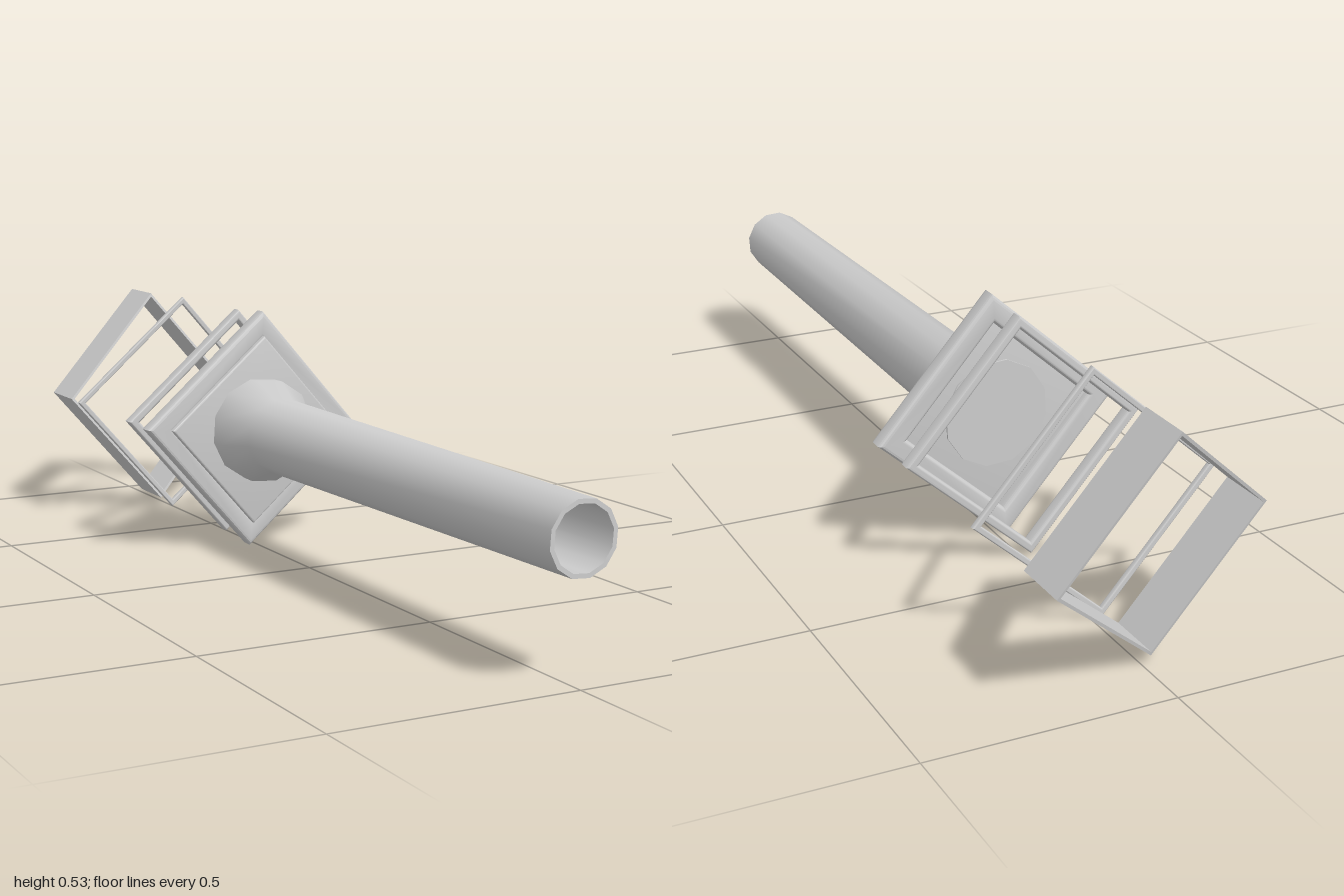
import * as THREE from 'three';
import { toCreasedNormals } from 'three/addons/utils/BufferGeometryUtils.js';

const material = new THREE.MeshStandardMaterial({ color: 0xcccccc });

function square(half, Type = THREE.Shape) {
  const s = new Type();
  s.moveTo(-half, -half);
  s.lineTo(half, -half);
  s.lineTo(half, half);
  s.lineTo(-half, half);
  s.closePath();
  return s;
}

// Square slab or frame from z0 to z1 with rounded edges; inner = 0 makes it solid.
function squareSlab(half, inner, z0, z1, bevel) {
  const shape = square(half - bevel);
  if (inner) shape.holes.push(square(inner + bevel, THREE.Path));
  const geo = new THREE.ExtrudeGeometry(shape, {
    depth: z1 - z0 - 2 * bevel,
    bevelEnabled: bevel > 0,
    bevelSize: bevel,
    bevelThickness: bevel,
    bevelSegments: 3,
  });
  geo.translate(0, 0, z0 + bevel);
  return toCreasedNormals(geo, 0.7);
}

export function createModel() {
  const group = new THREE.Group();
  // Everything shares the same tilt about the long axis
  group.rotation.z = THREE.MathUtils.degToRad(41.1);
  group.position.y = 0.265;
  const add = (name, geo) => {
    const mesh = new THREE.Mesh(geo, material);
    mesh.name = name;
    group.add(mesh);
    return mesh;
  };

  // Hollow twelve-sided tube, flared where it meets the plate
  const profile = [
    [0, -0.274], [0.115, -0.274], [0.116, -0.2], [0.083, -0.13],
    [0.072, 1], [0.063, 1], [0.063, -0.22], [0, -0.22],
  ].map(([r, z]) => new THREE.Vector2(r, z));
  const tube = new THREE.LatheGeometry(profile, 12);
  tube.rotateX(Math.PI / 2);
  add('flaredTube', toCreasedNormals(tube, 0.7)).position.set(0.002, 0.003, 0);

  // Mounting plate: rounded border with a raised centre, recessed at the back
  add('plateBorder', squareSlab(0.188, 0.145, -0.29, -0.25, 0.008));
  add('plateCentre', squareSlab(0.15, 0, -0.27, -0.238, 0.004));

  // Thin square rings
  add('thickRing', squareSlab(0.182, 0.164, -0.406, -0.375, 0.006));
  add('thinRing', squareSlab(0.182, 0.17, -0.696, -0.683, 0.003));

  // Slanted square sleeve: a thin-walled frame sheared along z
  const sleeve = squareSlab(0.176, 0.17, -0.938, -0.817, 0);
  const p = sleeve.attributes.position;
  for (let i = 0; i < p.count; i++) p.setZ(i, p.getZ(i) - p.getX(i) * 0.352);
  add('slantedSleeve', toCreasedNormals(sleeve, 0.7));

  const model = new THREE.Group();
  model.add(group);
  return model;
}
